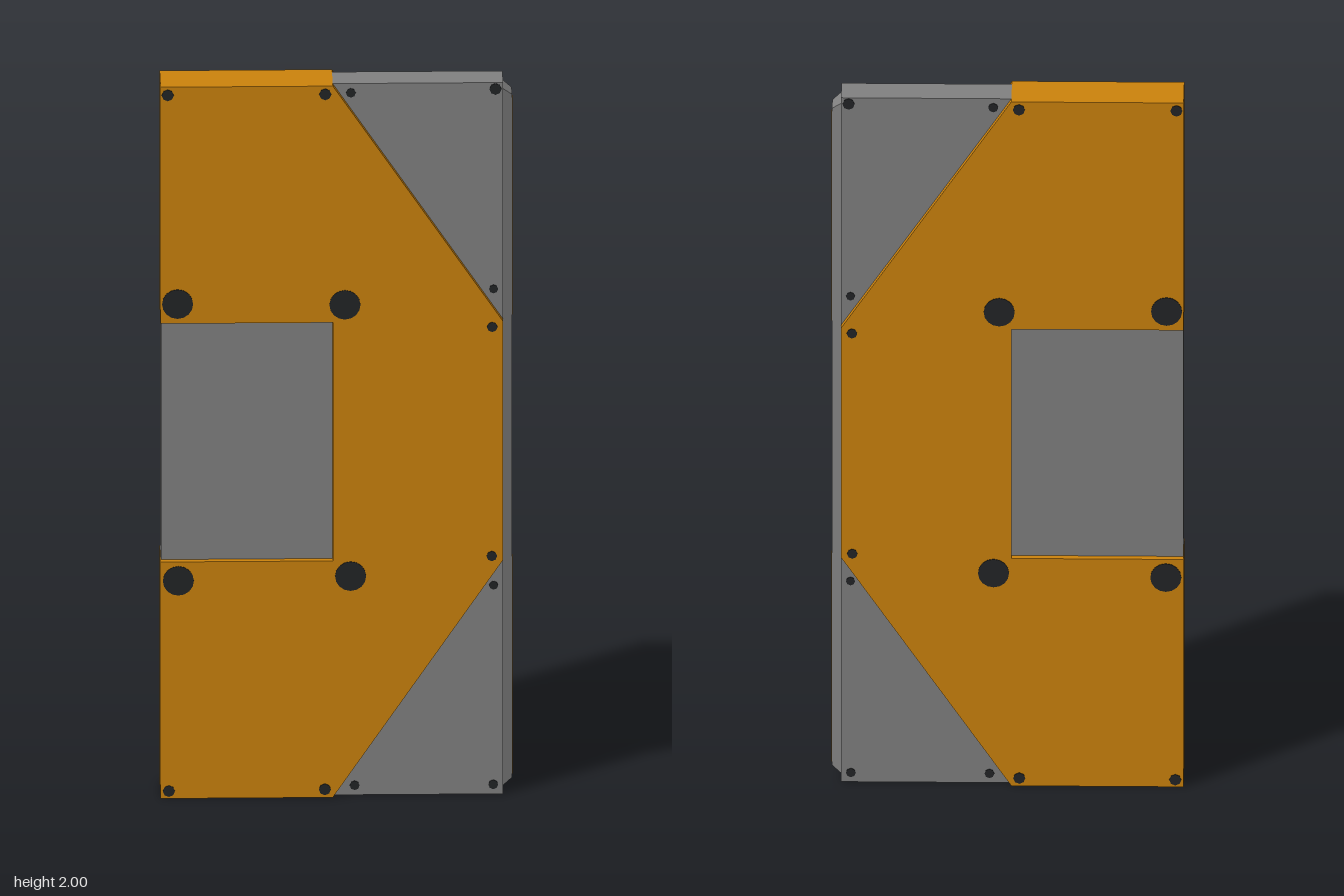
import * as THREE from 'three';

const mat = (name, color) => new THREE.MeshStandardMaterial({ name, color });

export function createModel() {
  const orange = mat('orange paint', 0xcb820c);
  const grey = mat('grey metal', 0x808080);
  const black = mat('black bolt', 0x222426);
  const group = new THREE.Group();
  const zMid = -0.0015;

  const add = (name, geometry, material, x = 0, y = 0, z = 0) => {
    const mesh = new THREE.Mesh(geometry, material);
    mesh.name = name;
    mesh.position.set(x, y, z);
    group.add(mesh);
    return mesh;
  };

  // Flat slab: outline extruded evenly about the middle plane
  const slab = (name, points, depth, material) => {
    const shape = new THREE.Shape(points.map(([x, y]) => new THREE.Vector2(x, y)));
    const geo = new THREE.ExtrudeGeometry(shape, { depth, bevelEnabled: false });
    add(name, geo, material, 0, 0, zMid - depth / 2);
  };

  // Thick C-shaped cover with clipped corners
  slab('cover', [
    [-0.465, 0], [-0.01, 0], [0.44, 0.665], [0.44, 1.335], [-0.01, 2], [-0.465, 2],
    [-0.465, 1.335], [-0.01, 1.335], [-0.01, 0.665], [-0.465, 0.665],
  ], 0.128, orange);

  // Thinner core, seen at the two corners and in the side recess
  slab('core', [
    [-0.464, 0.665], [-0.03, 0.665], [-0.01, 0], [0.44, 0], [0.44, 0.665], [0.435, 0.665],
    [0.435, 1.335], [0.44, 1.335], [0.44, 2], [-0.01, 2], [-0.03, 1.335], [-0.464, 1.335],
  ], 0.09, grey);

  // Tapered rail along the edge
  const rail = new THREE.BoxGeometry(0.025, 1.96, 0.072);
  const p = rail.attributes.position;
  for (let i = 0; i < p.count; i++) {
    if (p.getX(i) > 0) {
      p.setY(i, p.getY(i) * 0.98);
      p.setZ(i, p.getZ(i) * 0.74);
    }
  }
  rail.computeVertexNormals();
  add('edgeRail', rail, grey, 0.4515, 1, zMid);
  for (const y of [0.355, 1.645]) {
    add('railStripe', new THREE.BoxGeometry(0.002, 0.61, 0.052), orange, 0.464, y, zMid);
  }

  // Bolts on both faces: x, y, radius, half thickness of the plate beneath
  const bolts = [
    [-0.42, 1.39, 0.041, 0.064], [0.022, 1.385, 0.041, 0.064],
    [0.037, 0.622, 0.041, 0.064], [-0.418, 0.612, 0.041, 0.064],
    [-0.446, 1.977, 0.016, 0.064], [-0.03, 1.977, 0.016, 0.064],
    [0.411, 1.32, 0.014, 0.064], [0.41, 0.676, 0.014, 0.064],
    [-0.031, 0.023, 0.016, 0.064], [-0.443, 0.021, 0.016, 0.064],
    [0.038, 1.974, 0.013, 0.045], [0.42, 1.982, 0.016, 0.045],
    [0.415, 1.42, 0.012, 0.045], [0.415, 0.587, 0.012, 0.045],
    [0.414, 0.027, 0.013, 0.045], [0.048, 0.027, 0.013, 0.045],
  ];
  for (const [x, y, r, half] of bolts) {
    for (const side of [1, -1]) {
      const geo = new THREE.CylinderGeometry(r, r, 0.004, r > 0.03 ? 16 : 8);
      add(r > 0.03 ? 'largeBolt' : 'screw', geo, black, x, y, zMid + side * half).rotation.x = Math.PI / 2;
    }
  }
  return group;
}
